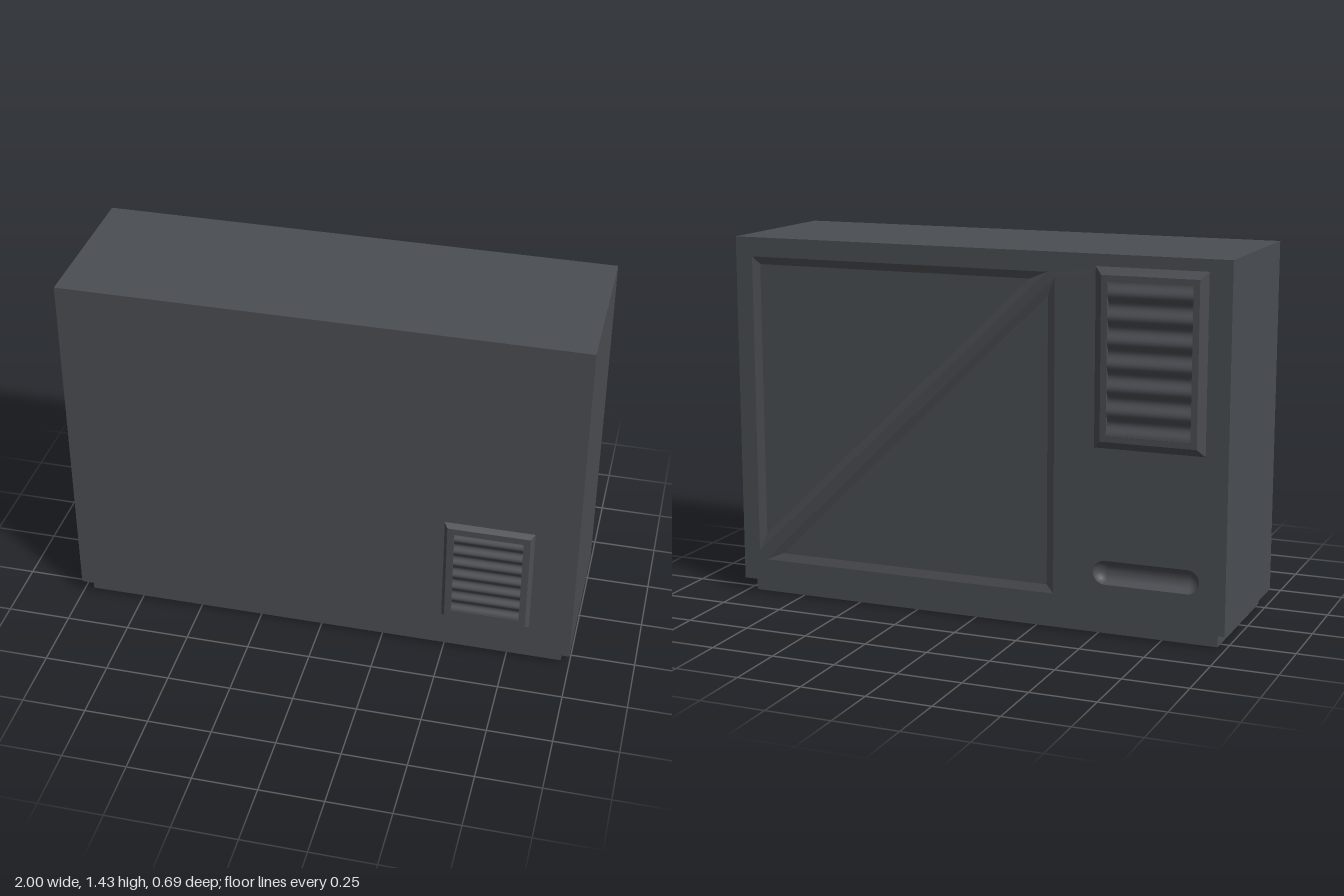
import * as THREE from 'three';

const casing = new THREE.MeshStandardMaterial({ color: 0x4b4e53 });
casing.name = 'dark grey casing';

// Joins rings of [u, v] points at heights w; rings run counter-clockwise seen from +w.
function loft(rings, { cap = false, smooth = false } = {}) {
  const pos = [], index = [], n = rings[0].pts.length;
  rings.forEach(({ pts, w }) => pts.forEach(([u, v]) => pos.push(u, v, w)));
  for (let r = 0; r < rings.length - 1; r++) {
    for (let i = 0; i < n; i++) {
      const a = r * n + i, b = r * n + (i + 1) % n;
      index.push(a, b, b + n, a, b + n, a + n);
    }
  }
  const last = (rings.length - 1) * n;
  if (cap) for (let i = 1; i < n - 1; i++) index.push(last, last + i, last + i + 1);
  let geo = new THREE.BufferGeometry();
  geo.setAttribute('position', new THREE.Float32BufferAttribute(pos, 3));
  geo.setIndex(index);
  if (!smooth) geo = geo.toNonIndexed();
  geo.computeVertexNormals();
  return geo;
}

function part(parent, name, geo) {
  const mesh = new THREE.Mesh(geo, casing);
  mesh.name = name;
  parent.add(mesh);
  return mesh;
}

const rect = (u0, v0, u1, v1, d = 0) =>
  [[u0 + d, v0 + d], [u1 - d, v0 + d], [u1 - d, v1 - d], [u0 + d, v1 - d]];

// Moves the sides of a triangle inward by d, scaling about its incentre.
function insetTriangle(t, d) {
  const side = t.map((_, i) => {
    const p = t[(i + 1) % 3], q = t[(i + 2) % 3];
    return Math.hypot(p[0] - q[0], p[1] - q[1]);
  });
  const sum = side[0] + side[1] + side[2];
  const c = [0, 1].map(k => t.reduce((s, p, i) => s + p[k] * side[i], 0) / sum);
  const area = Math.abs((t[1][0] - t[0][0]) * (t[2][1] - t[0][1]) -
    (t[2][0] - t[0][0]) * (t[1][1] - t[0][1])) / 2;
  const k = 1 - d * sum / (2 * area);
  return t.map(p => [c[0] + (p[0] - c[0]) * k, c[1] + (p[1] - c[1]) * k]);
}

// Pill outline between u0 and u1 with end radius r.
function pill(u0, u1, v, radius, r) {
  const pts = [];
  for (const [cx, start] of [[u1 - radius, -Math.PI / 2], [u0 + radius, Math.PI / 2]]) {
    for (let i = 0; i <= 10; i++) {
      const a = start + i / 10 * Math.PI;
      pts.push([cx + r * Math.cos(a), v + r * Math.sin(a)]);
    }
  }
  return pts;
}

// Raised bevelled frame around a field of softly rippled louvres.
function ventPanel(name, u0, v0, u1, v1, bevel, inset) {
  const group = new THREE.Group();
  group.name = name;
  const height = 0.02, floor = 0.004;
  part(group, 'ventFrame', loft([
    { pts: rect(u0, v0, u1, v1), w: 0 },
    { pts: rect(u0, v0, u1, v1, bevel), w: height },
    { pts: rect(u0, v0, u1, v1, inset), w: height },
    { pts: rect(u0, v0, u1, v1, inset), w: floor },
  ]));
  const w = u1 - u0 - 2 * inset, h = v1 - v0 - 2 * inset;
  const slats = new THREE.PlaneGeometry(w, h, 1, 78);
  const p = slats.attributes.position;
  for (let i = 0; i < p.count; i++) {
    const t = (0.5 - p.getY(i) / h) * 6.5;
    p.setZ(i, floor + 0.0145 * (1 - Math.cos(t * 2 * Math.PI)) / 2);
  }
  slats.computeVertexNormals();
  part(group, 'ventLouvres', slats).position.set((u0 + u1) / 2, (v0 + v1) / 2, 0);
  return group;
}

export function createModel() {
  const model = new THREE.Group();
  model.name = 'cabinet';
  const Z = 0.325, Y0 = 0.055, Y1 = 1.435;

  // Cabinet shell: sides, top, underside and front
  part(model, 'cabinetShell', loft([
    { pts: rect(-1, Y0, 1, Y1), w: -Z },
    { pts: rect(-1, Y0, 1, Y1), w: Z },
  ], { cap: true }));

  // Recessed plinth with a sloping lip
  part(model, 'plinth', new THREE.BoxGeometry(1.93, 0.046, 0.58)).position.y = 0.023;
  part(model, 'plinthLip', loft([
    { pts: rect(-0.965, -0.29, 0.965, 0.29), w: 0.043 },
    { pts: rect(-1, -Z, 1, Z), w: Y0 },
  ])).rotation.x = -Math.PI / 2;

  // Front vent
  const front = ventPanel('frontVent', 0.49, 0.173, 0.835, 0.62, 0.014, 0.04);
  front.position.z = Z;
  model.add(front);

  // Back assembly, drawn as seen from behind
  const back = new THREE.Group();
  back.name = 'back';
  back.rotation.y = Math.PI;
  back.position.z = -Z;
  model.add(back);

  const triangles = [
    [[-0.93, 1.36], [-0.93, 0.177], [0.30, 1.36]],
    [[-0.90, 0.142], [0.33, 0.142], [0.33, 1.342]],
  ];
  const slotRadius = 0.046;
  const slot = r => pill(0.488, 0.9, 0.246, slotRadius, r);

  // Back wall with openings for the recesses
  const toVectors = pts => pts.map(([u, v]) => new THREE.Vector2(u, v));
  const wall = new THREE.Shape(toVectors(rect(-1, Y0, 1, Y1)));
  for (const hole of [...triangles, slot(slotRadius)]) wall.holes.push(new THREE.Path(toVectors(hole)));
  part(back, 'backWall', new THREE.ShapeGeometry(wall));

  // Shallow triangular panels either side of a diagonal rib
  triangles.forEach(t => part(back, 'triangularRecess', loft([
    { pts: t, w: 0 },
    { pts: insetTriangle(t, 0.03), w: -0.01 },
  ], { cap: true })));

  // Scooped hand grip
  const scoop = [];
  for (let i = 0; i <= 8; i++) {
    const a = i / 8 * Math.PI * 0.48;
    scoop.push({ pts: slot(slotRadius * Math.cos(a)), w: -0.04 * Math.sin(a) });
  }
  part(back, 'handGrip', loft(scoop, { cap: true, smooth: true }));

  // Back vent
  back.add(ventPanel('backVent', 0.488, 0.72, 0.914, 1.39, 0.028, 0.052));

  return model;
}
